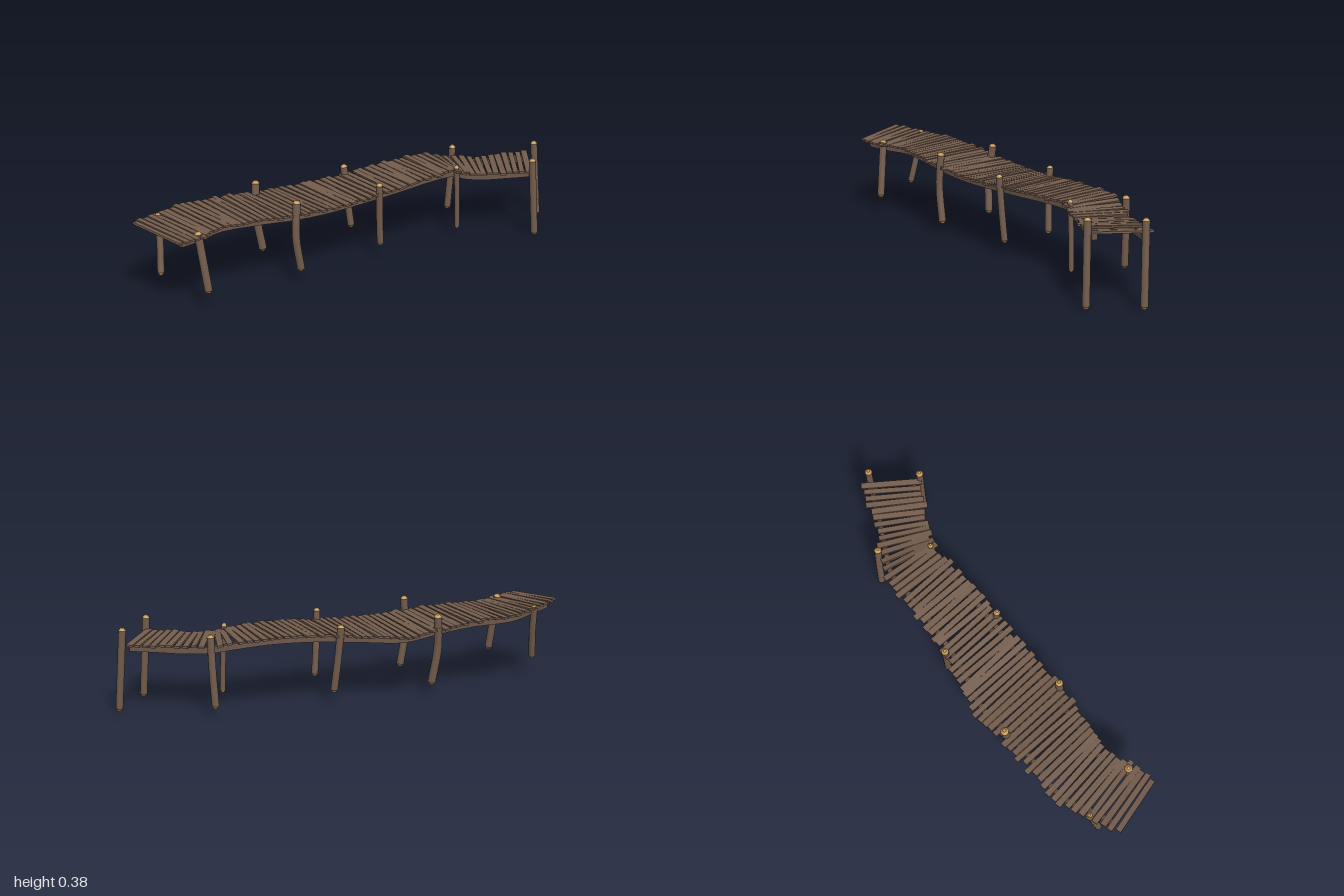
import * as THREE from 'three';

const wood = new THREE.MeshStandardMaterial({ color: 0x735c4d });
const beamWood = new THREE.MeshStandardMaterial({ color: 0x6d574a });
const cutWood = new THREE.MeshStandardMaterial({ color: 0xc99a58 });

// Small seeded generator, returns -1..1
let seed = 7;
const rnd = () => {
  seed = (seed * 16807) % 2147483647;
  return (seed / 2147483647) * 2 - 1;
};

const curve = (pts) => new THREE.CatmullRomCurve3(pts.map((p) => new THREE.Vector3(...p)));

// The two edges of the walkway surface, matched station by station
const backPts = [
  [-0.985, 0.362, -0.205], [-0.85, 0.347, -0.25], [-0.7, 0.336, -0.305], [-0.5, 0.328, -0.285],
  [-0.33, 0.308, -0.275], [-0.18, 0.294, -0.282], [0, 0.305, -0.225], [0.2, 0.323, -0.185],
  [0.4, 0.33, -0.16], [0.54, 0.326, -0.15], [0.65, 0.306, -0.09], [0.75, 0.3, -0.03],
  [0.86, 0.305, 0.03], [0.965, 0.309, 0.085],
];
const frontPts = [
  [-0.925, 0.342, 0.07], [-0.8, 0.335, 0.05], [-0.67, 0.334, 0.02], [-0.5, 0.33, 0.05],
  [-0.33, 0.317, 0.075], [-0.18, 0.309, 0.085], [0, 0.314, 0.095], [0.2, 0.324, 0.108],
  [0.4, 0.332, 0.11], [0.51, 0.326, 0.115], [0.55, 0.31, 0.13], [0.62, 0.303, 0.175],
  [0.71, 0.307, 0.235], [0.8, 0.311, 0.29],
];
const back = curve(backPts);
const front = curve(frontPts);
const mid = curve(backPts.map((b, i) => b.map((v, k) => (v + frontPts[i][k]) / 2)));

// Planks laid across the walkway, slightly uneven
function makePlanks() {
  const group = new THREE.Group();
  group.name = 'planks';
  const count = 62;
  const spacing = mid.getLength() / count;
  for (let i = 0; i < count; i++) {
    const t = mid.getUtoTmapping((i + 0.5) / count);
    const b = back.getPoint(t);
    const f = front.getPoint(t);
    const z = f.clone().sub(b);
    const length = z.length() + rnd() * 0.016;
    z.normalize();
    z.x += rnd() * 0.025;
    z.y += rnd() * 0.008;
    z.normalize();
    const x = mid.getTangent(t);
    x.y += rnd() * 0.06;
    x.addScaledVector(z, -x.dot(z)).normalize();
    const y = new THREE.Vector3().crossVectors(z, x);
    const pos = b.add(f).multiplyScalar(0.5).addScaledVector(z, rnd() * 0.008);
    pos.y += rnd() * 0.002 - 0.004;
    const plank = new THREE.Mesh(
      new THREE.BoxGeometry(spacing * (0.83 + rnd() * 0.08), 0.009, length), wood);
    plank.name = 'plank';
    plank.applyMatrix4(new THREE.Matrix4().makeBasis(x, y, z).setPosition(pos));
    group.add(plank);
  }
  return group;
}

// Support beam under the planks: a long box bent along the walkway
function makeBeam(name, across) {
  const geo = new THREE.BoxGeometry(1, 0.028, 0.022, 60, 1, 1);
  const p = geo.attributes.position;
  const at = (t) => back.getPoint(t).lerp(front.getPoint(t), across);
  for (let i = 0; i < p.count; i++) {
    const t = 0.025 + (p.getX(i) + 0.5) * 0.97;
    const c = at(t);
    const d = at(Math.min(t + 0.005, 1)).sub(at(t - 0.005)).setY(0).normalize();
    const side = p.getZ(i);
    p.setXYZ(i, c.x - d.z * side, c.y - 0.022 + p.getY(i), c.z + d.x * side);
  }
  geo.computeVertexNormals();
  const beam = new THREE.Mesh(geo, beamWood);
  beam.name = name;
  return beam;
}

// Crooked round post with pale bevelled ends
function makePost([top, bottom, r, bow]) {
  const group = new THREE.Group();
  group.name = 'post';
  const cap = 0.012;
  const a = new THREE.Vector3(...bottom).add(new THREE.Vector3(0, cap, 0));
  const b = new THREE.Vector3(...top).add(new THREE.Vector3(0, -cap, 0));
  const m = a.clone().lerp(b, 0.5);
  m.x += bow;
  const path = new THREE.CatmullRomCurve3([a, m, b]);
  const shaft = new THREE.Mesh(new THREE.TubeGeometry(path, 10, r, 12), wood);
  shaft.name = 'postShaft';
  group.add(shaft);
  for (const [t, sign] of [[0, -1], [1, 1]]) {
    const dir = path.getTangent(t).multiplyScalar(sign);
    const end = new THREE.Mesh(new THREE.CylinderGeometry(r * 0.4, r, cap, 12), cutWood);
    end.name = 'postEnd';
    end.quaternion.setFromUnitVectors(new THREE.Vector3(0, 1, 0), dir);
    end.position.copy(path.getPoint(t)).addScaledVector(dir, cap / 2);
    group.add(end);
  }
  return group;
}

// Each post: top, bottom, radius, sideways bow
const posts = [
  [[-0.84, 0.352, -0.235], [-0.865, 0.09, -0.19], 0.015, 0.004],
  [[-0.805, 0.35, 0.025], [-0.787, 0.08, 0.06], 0.017, 0],
  [[-0.338, 0.37, -0.25], [-0.33, 0.045, -0.218], 0.018, -0.014],
  [[-0.34, 0.382, 0.064], [-0.327, 0.053, 0.07], 0.017, -0.015],
  [[0.1, 0.36, -0.193], [0.12, 0.057, -0.167], 0.016, -0.002],
  [[0.08, 0.367, 0.092], [0.098, 0.06, 0.078], 0.015, -0.002],
  [[0.653, 0.357, -0.092], [0.642, 0.037, -0.104], 0.016, 0.002],
  [[0.517, 0.348, 0.097], [0.528, 0.037, 0.098], 0.012, 0.002],
  [[0.963, 0.371, 0.126], [0.982, 0.003, 0.145], 0.016, 0],
  [[0.802, 0.371, 0.288], [0.818, 0, 0.306], 0.016, 0],
];

export function createModel() {
  const model = new THREE.Group();
  model.name = 'woodenPier';
  model.add(makePlanks(), makeBeam('backBeam', 0.13), makeBeam('frontBeam', 0.87));
  const supports = new THREE.Group();
  supports.name = 'posts';
  posts.forEach((p) => supports.add(makePost(p)));
  model.add(supports);
  return model;
}
